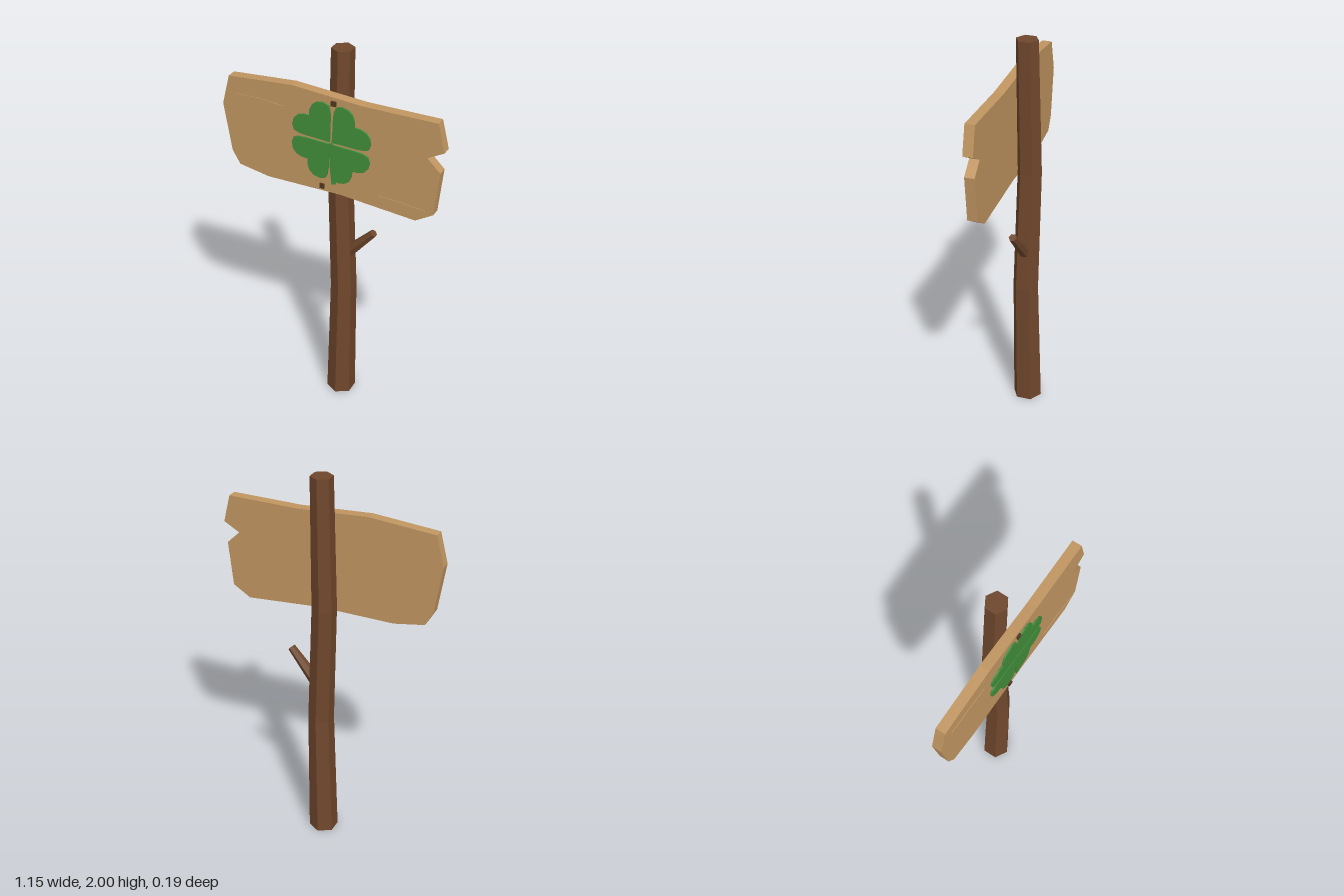
import * as THREE from 'three';

const mat = (name, color) => {
  const m = new THREE.MeshStandardMaterial({ color });
  m.name = name;
  return m;
};

// Faceted copy of a geometry
function facet(geometry) {
  const g = geometry.index ? geometry.toNonIndexed() : geometry;
  g.computeVertexNormals();
  return g;
}

// Flat plate cut from an outline, standing between two z depths
function plate(points, z, depth) {
  const shape = new THREE.Shape(points.map(([x, y]) => new THREE.Vector2(x, y)));
  return new THREE.ExtrudeGeometry(shape, { depth, bevelEnabled: false }).translate(0, 0, z);
}

export function createModel() {
  const bark = mat('bark brown', 0x6f472c);
  const wood = mat('board wood', 0xc19661);
  const green = mat('clover green', 0x418d3b);
  const iron = mat('nail brown', 0x54351f);

  const model = new THREE.Group();
  model.name = 'signpost';
  const add = (name, geometry, material, parent = model) => {
    const mesh = new THREE.Mesh(geometry, material);
    mesh.name = name;
    parent.add(mesh);
    return mesh;
  };

  // Crooked six-sided post: [y, centre x, centre z, radius], top to bottom
  const rings = [
    [2, 0.013, -0.019, 0.056],
    [1.32, -0.003, -0.027, 0.062],
    [0.68, 0.021, -0.015, 0.066],
    [0, 0.005, -0.02, 0.075],
  ];
  const post = new THREE.CylinderGeometry(1, 1, 3, 6, 3);
  const p = post.attributes.position;
  for (let i = 0; i < p.count; i++) {
    const [y, cx, cz, r] = rings[Math.round(1.5 - p.getY(i))];
    p.setXYZ(i, cx + p.getX(i) * r, y, cz + p.getZ(i) * r);
  }
  add('post', facet(post), bark);

  // Twig stub on the left side of the post
  const from = new THREE.Vector3(0.045, 0.885, -0.02);
  const to = new THREE.Vector3(0.19, 1.043, -0.005);
  const axis = to.clone().sub(from);
  const twig = add('twig', facet(new THREE.CylinderGeometry(0.02, 0.032, axis.length(), 6)), bark);
  twig.position.copy(from).add(to).multiplyScalar(0.5);
  twig.quaternion.setFromUnitVectors(new THREE.Vector3(0, 1, 0), axis.normalize());

  // Weathered board with a split in one end
  add('board', plate([
    [-0.54, 1.785], [-0.58, 1.63], [-0.54, 1.38], [-0.5, 1.31], [-0.34, 1.28],
    [0.05, 1.28], [0.445, 1.245], [0.535, 1.3], [0.56, 1.53], [0.493, 1.595],
    [0.575, 1.64], [0.54, 1.783], [0.17, 1.783], [-0.2, 1.81],
  ], 0.04, 0.05), wood);

  // Fine raised grain lines
  const grains = [
    [[-0.5, 1.7], [-0.375, 1.703], [-0.25, 1.69]],
    [[0.25, 1.33], [0.375, 1.325], [0.495, 1.31]],
  ];
  for (const line of grains) {
    const under = line.map(([x, y]) => [x, y - 0.003]);
    add('grainLine', plate([...under, ...line.slice().reverse()], 0.09, 0.003), wood);
  }

  // Four-leaf clover: heart-shaped leaves, mirrored about their own axis
  const clover = new THREE.Group();
  clover.name = 'clover';
  clover.position.set(0.005, 1.554, 0.09);
  model.add(clover);
  const half = [
    [0.008, 0], [0.05, 0.04], [0.1, 0.09], [0.128, 0.113], [0.152, 0.124],
    [0.18, 0.11], [0.198, 0.082], [0.201, 0.053], [0.187, 0.022],
  ];
  const mirrored = half.slice(1).reverse().map(([u, v]) => [u, v]);
  const heart = [...half.map(([u, v]) => [u, -v]), [0.166, 0], ...mirrored];
  const leaf = plate(heart, 0, 0.009);
  for (let i = 0; i < 4; i++) {
    add('leaf', leaf, green, clover).rotation.z = Math.PI / 4 + i * Math.PI / 2 - 0.045;
  }
  add('stem', plate([
    [-0.006, 0], [-0.006, -0.12], [0.004, -0.225], [0.026, -0.218], [0.01, -0.12], [0.006, 0],
  ], 0, 0.008), green, clover);

  // Square nail heads
  for (const [x, y] of [[0.02, 1.764], [-0.043, 1.308]]) {
    add('nail', new THREE.BoxGeometry(0.024, 0.024, 0.012), iron).position.set(x, y, 0.094);
  }

  return model;
}
